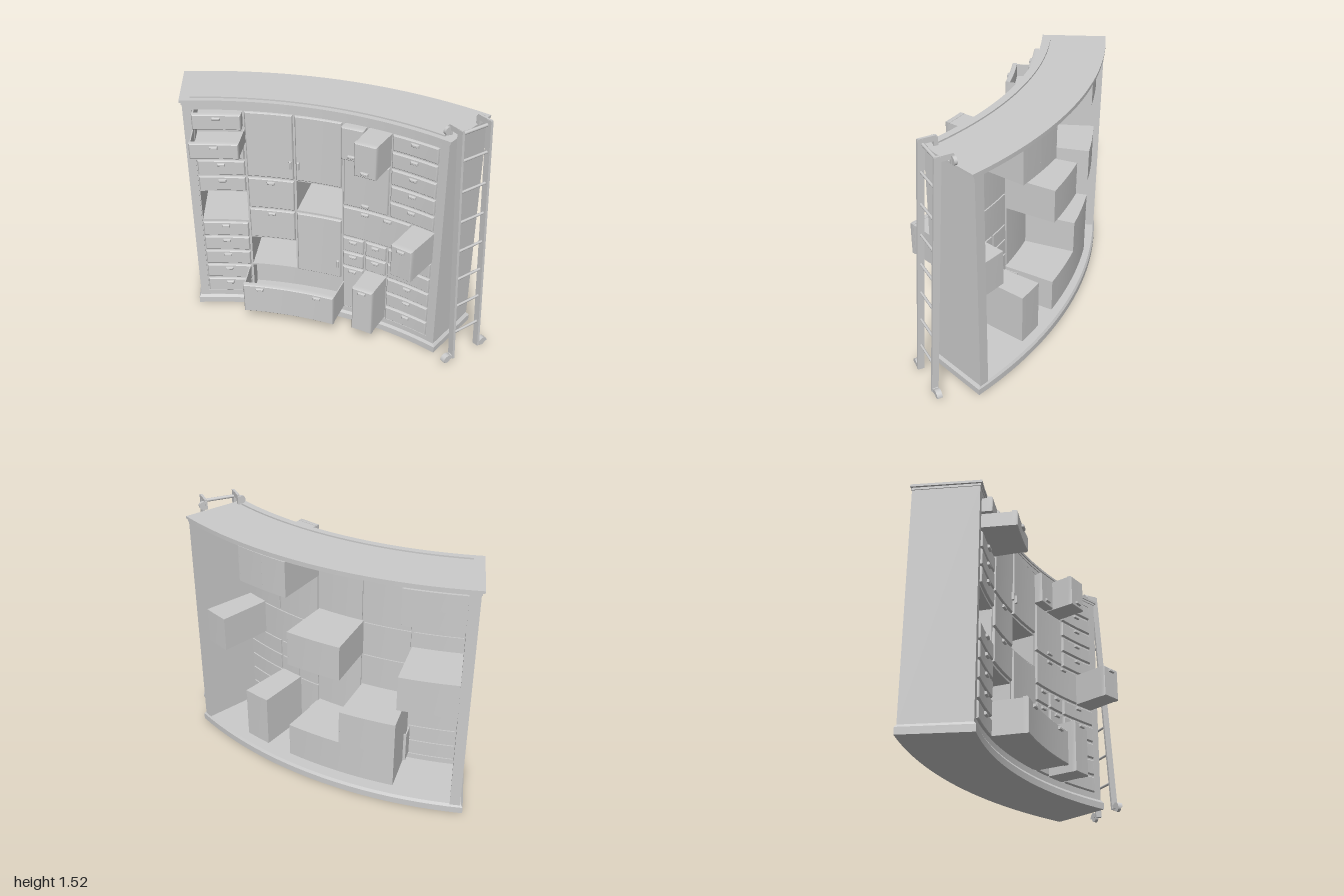
import * as THREE from 'three';

const mat = new THREE.MeshStandardMaterial({ color: 0xcccccc });
const rad = THREE.MathUtils.degToRad;
const COL = rad(7.86), START = -2.5 * COL;      // five columns along the arc
const ROW = 0.109, BASE = 0.09;                 // twelve drawer rows
const R_FRAME = 2.15, R_FRONT = 2.135, R_BACK = 2.487;

function add(parent, geo, name, x = 0, y = 0, z = 0) {
  const m = new THREE.Mesh(geo, mat);
  m.name = name;
  m.position.set(x, y, z);
  parent.add(m);
  return m;
}

// Curved block: angles a0..a1, radii r0 (front) to r1 (back), heights y0..y1, optional front bevel
function sector(a0, a1, r0, r1, y0, y1, bevel = 0, topBevel = 0) {
  const seg = Math.max(1, Math.ceil((a1 - a0) / rad(2)));
  const geo = new THREE.BoxGeometry(1, 1, 1, seg, 1, bevel ? 2 : 1);
  const p = geo.attributes.position;
  for (let i = 0; i < p.count; i++) {
    const front = p.getZ(i) > 0.4, mid = bevel && Math.abs(p.getZ(i)) < 0.1;
    const top = p.getY(i) > 0 ? topBevel : 0;
    const b = (front ? bevel : 0) + top;
    const a = THREE.MathUtils.lerp(a0 + b / r0, a1 - b / r0, p.getX(i) + 0.5);
    const y = p.getY(i) > 0 ? y1 - (front ? bevel : 0) : y0 + (front ? bevel : 0);
    const r = front ? r0 + top : mid ? r0 + bevel : r1 - top;
    p.setXYZ(i, r * Math.sin(a), y, -r * Math.cos(a));
  }
  geo.computeVertexNormals();
  return geo;
}

// Thin-walled curved box, open at its front or its top
function hollow(parent, name, a0, a1, r0, r1, y0, y1, open) {
  const t = 0.006, ta = t / r0;
  const box = new THREE.Group();
  box.name = name;
  parent.add(box);
  add(box, sector(a0, a0 + ta, r0, r1, y0, y1), 'leftWall');
  add(box, sector(a1 - ta, a1, r0, r1, y0, y1), 'rightWall');
  add(box, sector(a0, a1, r0, r1, y0, y0 + t), 'floor');
  add(box, sector(a0, a1, r1 - t, r1, y0, y1), 'backWall');
  if (open === 'front') add(box, sector(a0, a1, r0, r1, y1 - t, y1), 'ceiling');
}

// Small pull: horizontal for drawers, upright for doors
function handle(parent, a, y, upright) {
  const w = upright ? 0.007 : 0.023, h = upright ? 0.025 : 0.009;
  add(parent, sector(a - w / R_FRONT, a + w / R_FRONT, R_FRONT - 0.014, R_FRONT + 0.002, y - h, y + h, 0.004), 'handle');
}

// Front panel of a drawer or door with its handles, given as [column position, height, upright]
function front(parent, a0, a1, y0, y1, handles) {
  const g = 0.007, ga = g / R_FRAME;
  add(parent, sector(a0 + ga, a1 - ga, R_FRONT, R_FRAME + 0.016, y0 + g, y1 - g, 0.006), 'frontPanel');
  for (const [c, y, up] of handles) handle(parent, START + c * COL, y, up);
}

function cell(parent, { c: [c0, c1], r: [r0, r1], pull = 0, kind = 'closed', tray = false, handles }) {
  const a0 = START + c0 * COL, a1 = START + c1 * COL;
  const y0 = BASE + r0 * ROW, y1 = BASE + r1 * ROW;
  handles ??= [[(c0 + c1) / 2, y1 - 0.03]];
  if (kind === 'closed') {
    const g = new THREE.Group();
    g.name = 'closedDrawer';
    parent.add(g);
    add(g, sector(a0, a1, R_FRAME, R_FRAME + 0.008, y0, y1), 'dividerFrame');
    front(g, a0, a1, y0, y1, handles);
    return;
  }
  hollow(parent, 'compartment', a0, a1, R_FRAME, R_BACK, y0, y1, 'front');
  if (kind === 'empty') return;
  // pulled-out drawer slides along the middle of its opening
  const d = new THREE.Group(), m = (a0 + a1) / 2, ia = 0.009 / R_FRAME;
  d.name = 'openDrawer';
  d.position.set(-Math.sin(m) * pull, 0, Math.cos(m) * pull);
  parent.add(d);
  front(d, a0, a1, y0, y1, handles);
  if (tray) hollow(d, 'tray', a0 + ia, a1 - ia, R_FRAME, 2.45, y0 + 0.009, y1 - 0.014, 'top');
  else add(d, sector(a0 + ia, a1 - ia, R_FRAME, 2.45, y0 + 0.009, y1 - 0.009), 'drawerBox');
}

function buildCabinet() {
  const g = new THREE.Group();
  g.name = 'curvedCabinet';
  g.position.set(-0.075, 0, 2.167);
  const E = rad(21.38), P = rad(21.0), I = -START;

  // plinth, cornice and track
  add(g, sector(-E, E, 2.133, 2.532, 0, 0.04), 'plinth');
  add(g, sector(-E, E, 2.133, 2.532, 0.04, 0.056, 0, 0.01), 'plinthMoulding');
  add(g, sector(-P - 0.002, P + 0.002, 2.14, 2.528, 1.428, 1.442), 'corniceMoulding');
  add(g, sector(-E, E, 2.133, 2.532, 1.442, 1.457), 'topBoard');
  add(g, sector(-rad(19.8), rad(19.8), 2.165, 2.187, 1.456, 1.466), 'ladderTrack');

  // sides and frame strips
  add(g, sector(-P, -I, 2.145, 2.525, 0.05, 1.43), 'sidePanelRight');
  add(g, sector(I, P, 2.145, 2.525, 0.05, 1.43), 'sidePanelLeft');
  add(g, sector(-I, I, 2.145, 2.165, 0.05, BASE), 'bottomStrip');
  add(g, sector(-I, I, 2.145, 2.165, BASE + 12 * ROW, 1.43), 'topStrip');

  // outer columns of single drawers
  for (const r of [0, 1, 2, 3, 4, 7, 8, 9, 10, 11]) {
    cell(g, { c: [4, 5], r: [r, r + 1] });
    if (r < 10) cell(g, { c: [0, 1], r: [r, r + 1] });
  }
  // small paired drawers
  for (const r of [3, 4]) for (const c of [3, 3.5]) cell(g, { c: [c, c + 0.5], r: [r, r + 1] });

  const cells = [
    { c: [0, 1], r: [11, 12], kind: 'open', pull: 0.05, tray: true },
    { c: [0, 1], r: [10, 11], kind: 'open', pull: 0.19, tray: true },
    { c: [0, 1], r: [5, 7], kind: 'empty' },
    { c: [1, 3], r: [0, 2], kind: 'open', pull: 0.2, tray: true, handles: [[1.38, 0.278], [2.62, 0.278]] },
    { c: [1, 2], r: [2, 4], kind: 'empty' },
    { c: [1, 2], r: [4, 6] },
    { c: [1, 2], r: [6, 8] },
    { c: [1, 2], r: [8, 12], handles: [[1.92, 1.07, true]] },
    { c: [2, 3], r: [2, 6], handles: [[2.92, 0.42, true]] },
    { c: [2, 3], r: [6, 8], kind: 'empty' },
    { c: [2, 3], r: [8, 12], handles: [[2.08, 1.07, true]] },
    { c: [3, 3.5], r: [0, 3] },
    { c: [3.5, 4], r: [0, 3], kind: 'open', pull: 0.175 },
    { c: [3, 4.5], r: [5, 7], handles: [[3.5, 0.825], [4, 0.825]] },
    { c: [4.5, 5], r: [5, 7], kind: 'open', pull: 0.22 },
    { c: [3, 4], r: [7, 10], handles: [[3.5, 0.885]] },
    { c: [3, 3.5], r: [10, 12], kind: 'open', pull: 0.04, handles: [[3.25, 1.215]] },
    { c: [3.5, 4], r: [10, 12], kind: 'open', pull: 0.175, handles: [[3.75, 1.215]] },
  ];
  for (const c of cells) cell(g, c);
  return g;
}

function buildLadder() {
  const g = new THREE.Group();
  g.name = 'rollingLadder';
  g.position.set(0.805, 0, 0.07);
  g.rotation.y = 0.927;
  const LEAN = 0.09 / 1.47, zAt = (y) => (1.5 - y) * LEAN;

  for (const s of [-1, 1]) {
    // leaning stile
    const stile = add(g, new THREE.BoxGeometry(0.016, 1.5, 0.04), 'stile', s * 0.1, 0.77, zAt(0.77));
    stile.rotation.x = -Math.atan(LEAN);
    // top arm with guide roller
    add(g, new THREE.BoxGeometry(0.014, 0.032, 0.1), 'topArm', s * 0.1, 1.506, -0.035);
    add(g, new THREE.BoxGeometry(0.014, 0.05, 0.024), 'armHook', s * 0.1, 1.488, -0.08);
    add(g, new THREE.CylinderGeometry(0.024, 0.024, 0.018, 20).rotateX(Math.PI / 2), 'guideRoller', s * 0.118, 1.488, -0.08);
    // floor wheel under a rounded cover
    const z = zAt(0.03);
    add(g, new THREE.CylinderGeometry(0.024, 0.024, 0.02, 20).rotateX(Math.PI / 2), 'floorWheel', s * 0.142, 0.024, z);
    const cover = new THREE.CylinderGeometry(0.034, 0.034, 0.032, 20, 1, false, 0, Math.PI);
    cover.rotateX(Math.PI / 2).rotateZ(Math.PI / 2);
    add(g, cover, 'wheelCover', s * 0.14, 0.024, z).material = coverMat;
    add(g, new THREE.BoxGeometry(0.04, 0.024, 0.032), 'wheelBracket', s * 0.112, 0.036, z);
  }
  // rungs and the top bar
  for (let i = 0; i < 7; i++) {
    const y = 0.2 + i * 0.189;
    add(g, new THREE.CylinderGeometry(0.008, 0.008, 0.2, 10).rotateZ(Math.PI / 2), 'rung', 0, y, zAt(y));
  }
  add(g, new THREE.CylinderGeometry(0.01, 0.01, 0.2, 12).rotateZ(Math.PI / 2), 'topBar', 0, 1.488, -0.01);
  return g;
}

const coverMat = new THREE.MeshStandardMaterial({ color: 0xcccccc, side: THREE.DoubleSide });

export function createModel() {
  const model = new THREE.Group();
  model.name = 'curvedCabinetWithLadder';
  model.add(buildCabinet(), buildLadder());
  return model;
}
